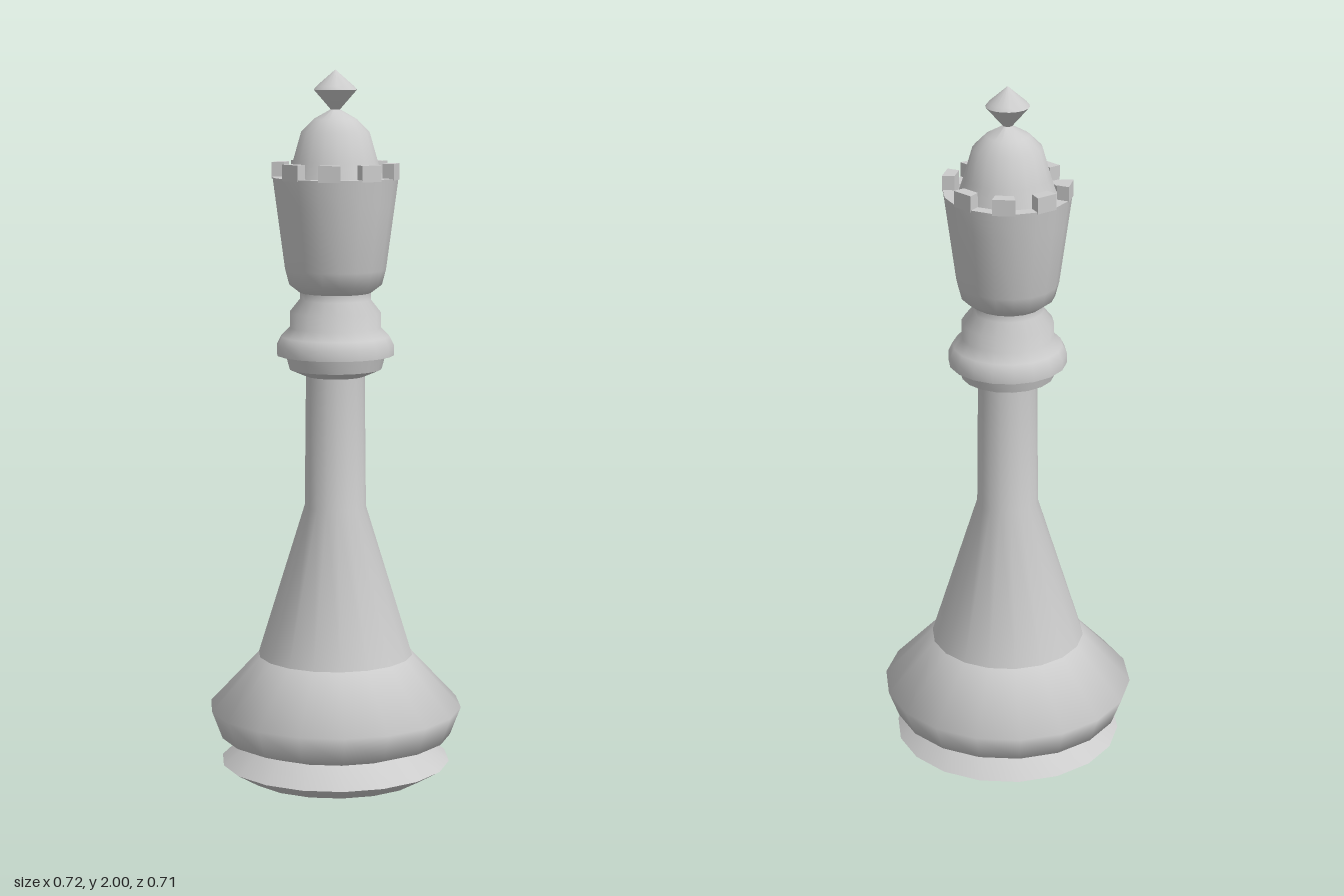
import * as THREE from 'three';
import { toCreasedNormals } from 'three/addons/utils/BufferGeometryUtils.js';

const SIDES = 18;
const CROWN_DEPTH = 1.05; // the crown is slightly deeper than wide
const material = new THREE.MeshStandardMaterial({ color: 0xcccccc });

// Turned part from [radius, height] pairs, listed bottom to top
function turned(name, profile, crease = 0.9, depth = 1) {
  const points = profile.map(([r, y]) => new THREE.Vector2(r, y));
  const lathe = new THREE.LatheGeometry(points, SIDES, Math.PI / 2);
  lathe.scale(1, 1, depth);
  const mesh = new THREE.Mesh(toCreasedNormals(lathe, crease), material);
  mesh.name = name;
  return mesh;
}

// One crown tooth spanning a single side of the rim
function tooth(index, inner, outer, bottom, top) {
  const a = (index * 2 * Math.PI) / SIDES;
  const b = ((index + 1) * 2 * Math.PI) / SIDES;
  const corner = (r, t) => new THREE.Vector2(r * Math.cos(t), r * Math.sin(t));
  const shape = new THREE.Shape([corner(inner, a), corner(outer, a), corner(outer, b), corner(inner, b)]);
  const geometry = new THREE.ExtrudeGeometry(shape, { depth: top - bottom, bevelEnabled: false });
  geometry.rotateX(-Math.PI / 2);
  geometry.translate(0, bottom, 0);
  geometry.scale(1, 1, CROWN_DEPTH);
  const mesh = new THREE.Mesh(geometry, material);
  mesh.name = 'crownTooth';
  return mesh;
}

export function createModel() {
  const model = new THREE.Group();
  model.name = 'chessQueen';

  // Foot ring, wide base and tapering stem
  model.add(turned('base', [
    [0, 0], [0.26, 0], [0.327, 0.04], [0.262, 0.095], [0.33, 0.12],
    [0.36, 0.2], [0.22, 0.35],
  ], 1.3));
  model.add(turned('stem', [[0.22, 0.35], [0.087, 0.78], [0.083, 1.15]]));

  // Stepped collar under the crown
  model.add(turned('collar', [
    [0.083, 1.15], [0.13, 1.17], [0.14, 1.207], [0.165, 1.21], [0.165, 1.238],
    [0.153, 1.262], [0.128, 1.287], [0.128, 1.33], [0.1, 1.365], [0.1, 1.385],
  ]));

  // Flared cup with a flat rim and an inner floor
  model.add(turned('crown', [
    [0.1, 1.385], [0.13, 1.408], [0.141, 1.45], [0.165, 1.63], [0.175, 1.705],
    [0.143, 1.705], [0.143, 1.69], [0.1, 1.69],
  ], 0.9, CROWN_DEPTH));

  // Teeth on every other side, mirrored front to back
  const teeth = new THREE.Group();
  teeth.name = 'crownTeeth';
  for (let i = 1; i < SIDES / 2; i += 2) {
    teeth.add(tooth(i, 0.143, 0.177, 1.7, 1.745));
    teeth.add(tooth(SIDES - 1 - i, 0.143, 0.177, 1.7, 1.745));
  }
  model.add(teeth);

  // Dome and pointed finial
  model.add(turned('dome', [
    [0.138, 1.69], [0.118, 1.75], [0.095, 1.83], [0.06, 1.865], [0.012, 1.892],
  ]));
  model.add(turned('finial', [[0.01, 1.888], [0.06, 1.945], [0.052, 1.955], [0, 2]]));

  return model;
}
